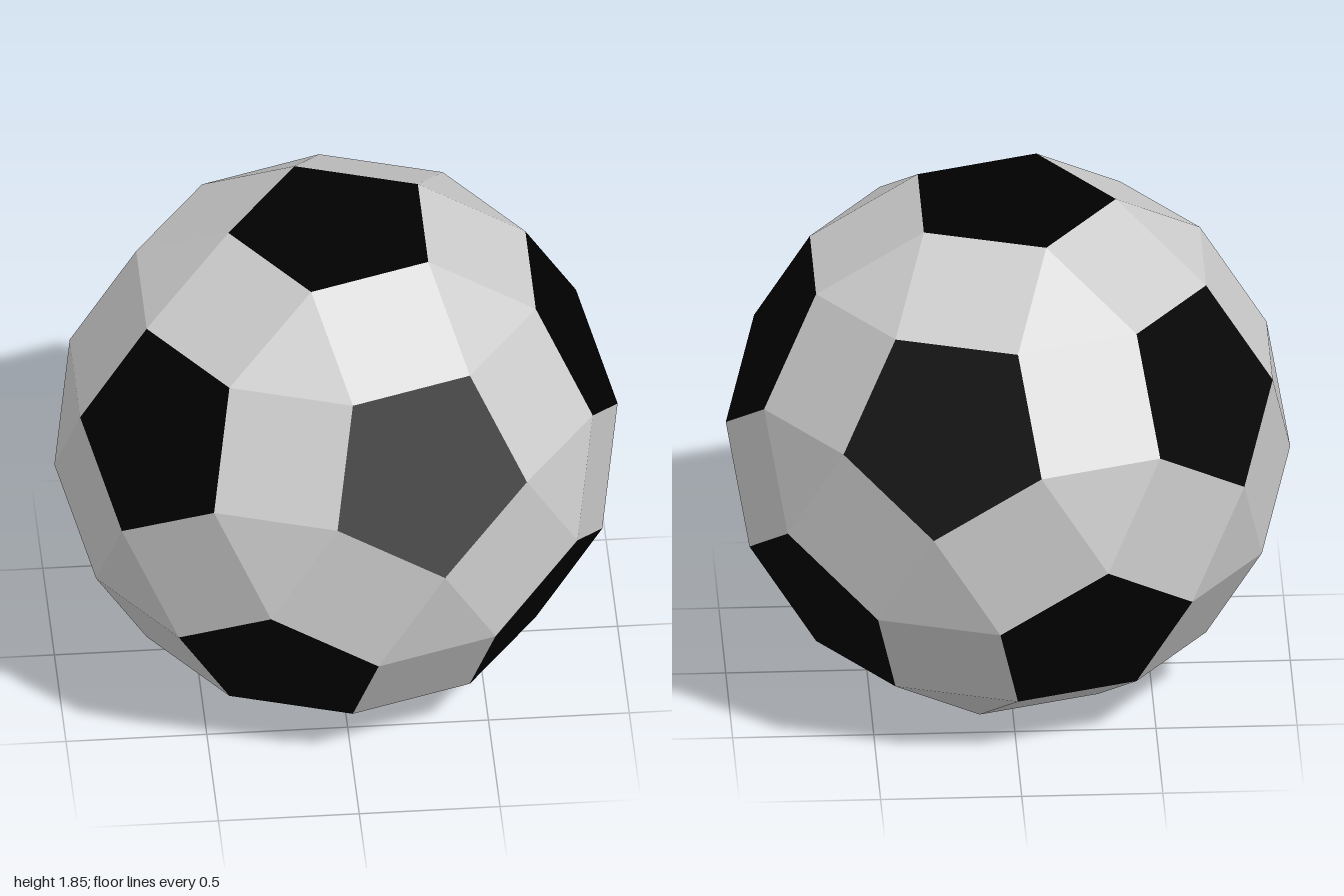
import * as THREE from 'three';

const CENTRE_Y = 0.927; // half the height of the ball
const ALONG = 0.6909, SIDE = 0.26395; // weights that place each pentagon corner

// Twelve pentagon directions: top, two staggered rings of five, bottom
function pentagonAxes() {
  const axes = [new THREE.Vector3(0, 1, 0), new THREE.Vector3(0, -1, 0)];
  const h = 1 / Math.sqrt(5);
  for (let i = 0; i < 10; i++) {
    const a = (i * Math.PI) / 5;
    axes.push(new THREE.Vector3(2 * h * Math.cos(a), i % 2 ? -h : h, 2 * h * Math.sin(a)));
  }
  return axes;
}

// Orders the corners of a flat panel counter-clockwise from outside, then fans it
function addPanel(out, corners) {
  const mid = corners.reduce((s, p) => s.add(p), new THREE.Vector3()).divideScalar(corners.length);
  const n = mid.clone().normalize();
  const u = corners[0].clone().sub(mid).normalize();
  const v = n.clone().cross(u);
  const angle = (p) => {
    const d = p.clone().sub(mid);
    return Math.atan2(d.dot(v), d.dot(u));
  };
  const ring = [...corners].sort((a, b) => angle(a) - angle(b));
  for (let i = 1; i < ring.length - 1; i++) out.push(ring[0], ring[i], ring[i + 1]);
}

function panelMesh(name, points, color) {
  const geometry = new THREE.BufferGeometry().setFromPoints(points);
  geometry.computeVertexNormals();
  const mesh = new THREE.Mesh(geometry, new THREE.MeshStandardMaterial({ color, flatShading: true }));
  mesh.name = name;
  mesh.position.y = CENTRE_Y;
  return mesh;
}

export function createModel() {
  const axes = pentagonAxes();
  const near = (i, j) => i !== j && axes[i].dot(axes[j]) > 0.4;
  const corner = (i, j, k) =>
    axes[i].clone().multiplyScalar(ALONG).addScaledVector(axes[j], SIDE).addScaledVector(axes[k], SIDE);

  const pentagons = axes.map(() => []);
  const squares = [], triangles = [], pentagonFaces = [];

  for (let i = 0; i < 12; i++) {
    for (let j = i + 1; j < 12; j++) {
      if (!near(i, j)) continue;
      // Square panel bridging two neighbouring pentagons
      const square = [];
      for (let k = 0; k < 12; k++) {
        if (!near(i, k) || !near(j, k)) continue;
        square.push(corner(i, j, k), corner(j, i, k));
        if (k < j) continue;
        // Triangle panel between three pentagons
        const tri = [corner(i, j, k), corner(j, i, k), corner(k, i, j)];
        addPanel(triangles, tri);
        [i, j, k].forEach((p, t) => pentagons[p].push(tri[t]));
      }
      addPanel(squares, square);
    }
  }
  pentagons.forEach((p) => addPanel(pentagonFaces, p));

  const ball = new THREE.Group();
  ball.name = 'ball';
  ball.add(
    panelMesh('blackPentagonPanels', pentagonFaces, 0x000000),
    panelMesh('squarePanels', squares, 0xcccccc),
    panelMesh('trianglePanels', triangles, 0xcccccc)
  );
  return ball;
}
